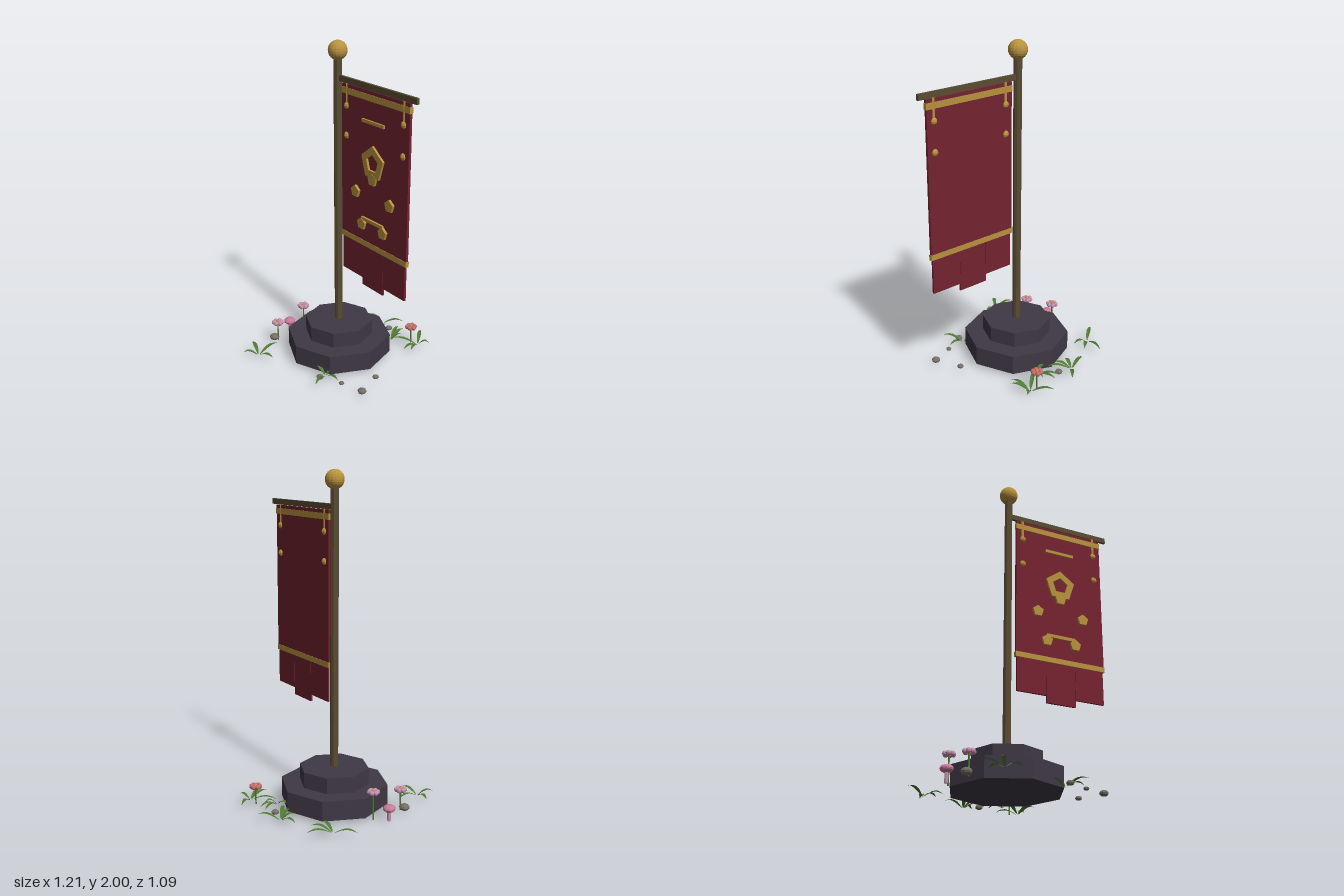
import * as THREE from 'three';

const mat = (name, color, extra = {}) => {
  const m = new THREE.MeshStandardMaterial({ color, flatShading: true, ...extra });
  m.name = name;
  return m;
};

export function createModel() {
  const M = {
    slate: mat('slate', 0x3f3846),
    wood: mat('dark wood', 0x5a4c33),
    gold: mat('gold', 0xb8923e),
    cloth: mat('crimson cloth', 0x742330),
    leaf: mat('leaf green', 0x4f7a33, { side: THREE.DoubleSide }),
    stone: mat('stone grey', 0x757066),
    pink: mat('cap pink', 0xcb7a9a),
    lilac: mat('petal lilac', 0xc78fb0),
    coral: mat('petal coral', 0xc46b6c),
  };
  const root = new THREE.Group();
  root.name = 'bannerStand';
  const PX = -0.095, Z = -0.007; // pole axis and banner plane

  const add = (name, geo, material, x, y, z, parent = root) => {
    const mesh = new THREE.Mesh(geo, material);
    mesh.name = name;
    mesh.position.set(x, y, z);
    parent.add(mesh);
    return mesh;
  };
  const box = (name, m, x0, x1, y0, y1, depth, z = Z, parent = root) =>
    add(name, new THREE.BoxGeometry(x1 - x0, y1 - y0, depth), m, (x0 + x1) / 2, (y0 + y1) / 2, z, parent);
  const cyl = (name, m, r, y0, y1, sides, x, z, parent = root) =>
    add(name, new THREE.CylinderGeometry(r, r, y1 - y0, sides), m, x, (y0 + y1) / 2, z, parent);

  // Stepped octagonal plinth, pole and finial
  cyl('lowerStep', M.slate, 0.329, 0.02, 0.14, 8, PX, Z);
  cyl('upperStep', M.slate, 0.213, 0.14, 0.237, 8, PX, Z);
  cyl('pole', M.wood, 0.025, 0.237, 1.91, 8, PX, Z);
  add('finial', new THREE.SphereGeometry(0.057, 16, 12), M.gold, PX, 1.945, Z);
  box('crossbar', M.wood, -0.09, 0.605, 1.773, 1.807, 0.017);

  // Cloth, trims and three tails
  const banner = new THREE.Group();
  banner.name = 'banner';
  root.add(banner);
  box('cloth', M.cloth, -0.043, 0.554, 0.85, 1.77, 0.016, Z, banner);
  box('topTrim', M.gold, -0.046, 0.557, 1.714, 1.75, 0.022, Z, banner);
  box('bottomTrim', M.gold, -0.046, 0.557, 0.838, 0.871, 0.022, Z, banner);
  [[-0.035, 0.157, 0.625], [0.159, 0.351, 0.58], [0.353, 0.545, 0.625]].forEach(([a, b, y]) =>
    box('tail', M.cloth, a, b, y, 0.85, 0.013, Z, banner));

  // Hanging cords and beads
  for (const x of [0.002, 0.507]) {
    cyl('cord', M.gold, 0.013, 1.645, 1.775, 6, x, Z, banner);
    for (const y of [1.645, 1.47])
      add('bead', new THREE.SphereGeometry(0.023, 8, 6), M.gold, x, y, Z, banner);
  }

  // Raised emblem on the front of the cloth
  const pentagon = (Type, r) => {
    const p = new Type();
    for (let i = 0; i < 5; i++) {
      const a = Math.PI / 2 + i * Math.PI * 0.4;
      p[i ? 'lineTo' : 'moveTo'](r * Math.cos(a), r * Math.sin(a));
    }
    p.closePath();
    return p;
  };
  const emblem = new THREE.Group();
  emblem.name = 'emblem';
  banner.add(emblem);
  const plate = (name, r, hole, x, y, depth) => {
    const s = pentagon(THREE.Shape, r);
    if (hole) s.holes.push(pentagon(THREE.Path, hole));
    add(name, new THREE.ExtrudeGeometry(s, { depth, bevelEnabled: false }), M.gold, x, y, 0, emblem);
  };
  plate('emblemRing', 0.102, 0.054, 0.256, 1.366, 0.015);
  [[0.256, 1.27], [0.1, 1.16], [0.41, 1.16], [0.16, 0.976], [0.353, 0.976]].forEach(([x, y]) =>
    plate('emblemStud', 0.038, 0, x, y, 0.017));
  box('emblemBar', M.gold, 0.158, 0.352, 1.588, 1.607, 0.012, 0.007, emblem);
  box('emblemBar', M.gold, 0.158, 0.352, 1.0, 1.021, 0.012, 0.007, emblem);

  // Arched, folded blade running from its root to its tip
  const blade = (x0, z0, x1, z1) => {
    const dx = x1 - x0, dz = z1 - z0, len = Math.hypot(dx, dz);
    const nx = -dz / len, nz = dx / len, pos = [], idx = [], N = 6;
    for (let i = 0; i <= N; i++) {
      const t = i / N;
      const w = 0.0125 * Math.sin(Math.PI * (0.08 + 0.92 * t));
      const y = 0.022 + 0.035 * Math.sin(Math.PI * 0.8 * t);
      const x = x0 + dx * t, z = z0 + dz * t;
      pos.push(x - nx * w, y, z - nz * w, x, y - w * 0.3, z, x + nx * w, y, z + nz * w);
      if (i < N) for (const k of [3 * i, 3 * i + 1]) idx.push(k, k + 1, k + 3, k + 1, k + 4, k + 3);
    }
    const g = new THREE.BufferGeometry();
    g.setAttribute('position', new THREE.Float32BufferAttribute(pos, 3));
    // Wind the faces so that they look upwards
    g.setIndex(idx.flatMap((_, i) => (i % 3 ? [] : [idx[i], idx[i + 1], idx[i + 2]])));
    g.computeVertexNormals();
    if (g.attributes.normal.getY(1) < 0) { g.setIndex(idx.slice().reverse()); g.computeVertexNormals(); }
    return g;
  };
  // Each tuft: root x, z, then the blade tips
  const tufts = [
    [-0.48, -0.267, [[-0.6, -0.183], [-0.445, -0.42], [-0.374, -0.348], [-0.364, -0.264]]],
    [-0.176, -0.43, [[-0.08, -0.533], [-0.3, -0.406], [-0.118, -0.332], [-0.053, -0.34], [-0.2, -0.345]]],
    [0.036, -0.33, [[-0.047, -0.461], [0, -0.468], [0.048, -0.41], [-0.06, -0.312]]],
    [0.18, -0.44, [[0.083, -0.549], [0.241, -0.484], [0.205, -0.3], [0.241, -0.332], [0.047, -0.328]]],
    [0.13, 0.255, [[0.248, 0.248], [0.205, 0.382], [0.027, 0.26], [0.122, 0.18]]],
    [-0.318, 0.462, [[-0.341, 0.306], [-0.451, 0.429], [-0.202, 0.426], [-0.37, 0.545]]],
  ];
  for (const [x, z, tips] of tufts) {
    const tuft = new THREE.Group();
    tuft.name = 'grassTuft';
    root.add(tuft);
    for (const [tx, tz] of tips)
      add('blade', blade(x + (tx - x) * 0.08, z + (tz - z) * 0.08, tx, tz), M.leaf, 0, 0, 0, tuft);
  }

  // Flattened pebbles
  [[-0.083, -0.413, 0.023], [0.335, 0.028, 0.02], [0.406, 0.186, 0.027], [0.267, 0.235, 0.017],
    [0.134, 0.3, 0.023], [-0.44, 0.267, 0.032]].forEach(([x, z, r]) => {
    add('pebble', new THREE.SphereGeometry(r, 8, 6), M.stone, x, 0.03, z).scale.y = 0.65;
  });

  // Flowers: stem, ring of six round petals, gold centre
  [[-0.448, 0.031, 0.183, M.lilac], [-0.422, 0.25, 0.14, M.lilac], [0.12, -0.432, 0.125, M.coral]]
    .forEach(([x, z, y, m]) => {
      const flower = new THREE.Group();
      flower.name = 'flower';
      root.add(flower);
      cyl('stem', M.leaf, 0.005, 0.01, y, 6, x, z, flower);
      for (let i = 0; i < 6; i++) {
        const a = (i * Math.PI) / 3;
        add('petal', new THREE.SphereGeometry(0.0155, 8, 6), m,
          x + 0.024 * Math.cos(a), y, z + 0.024 * Math.sin(a), flower);
      }
      add('flowerCentre', new THREE.SphereGeometry(0.012, 8, 6), M.gold, x, y + 0.006, z, flower);
    });

  // Mushroom
  cyl('mushroomStem', M.lilac, 0.011, 0, 0.075, 8, -0.49, 0.115);
  add('mushroomCap', new THREE.SphereGeometry(0.038, 10, 8), M.pink, -0.49, 0.077, 0.115).scale.y = 0.6;

  return root;
}
